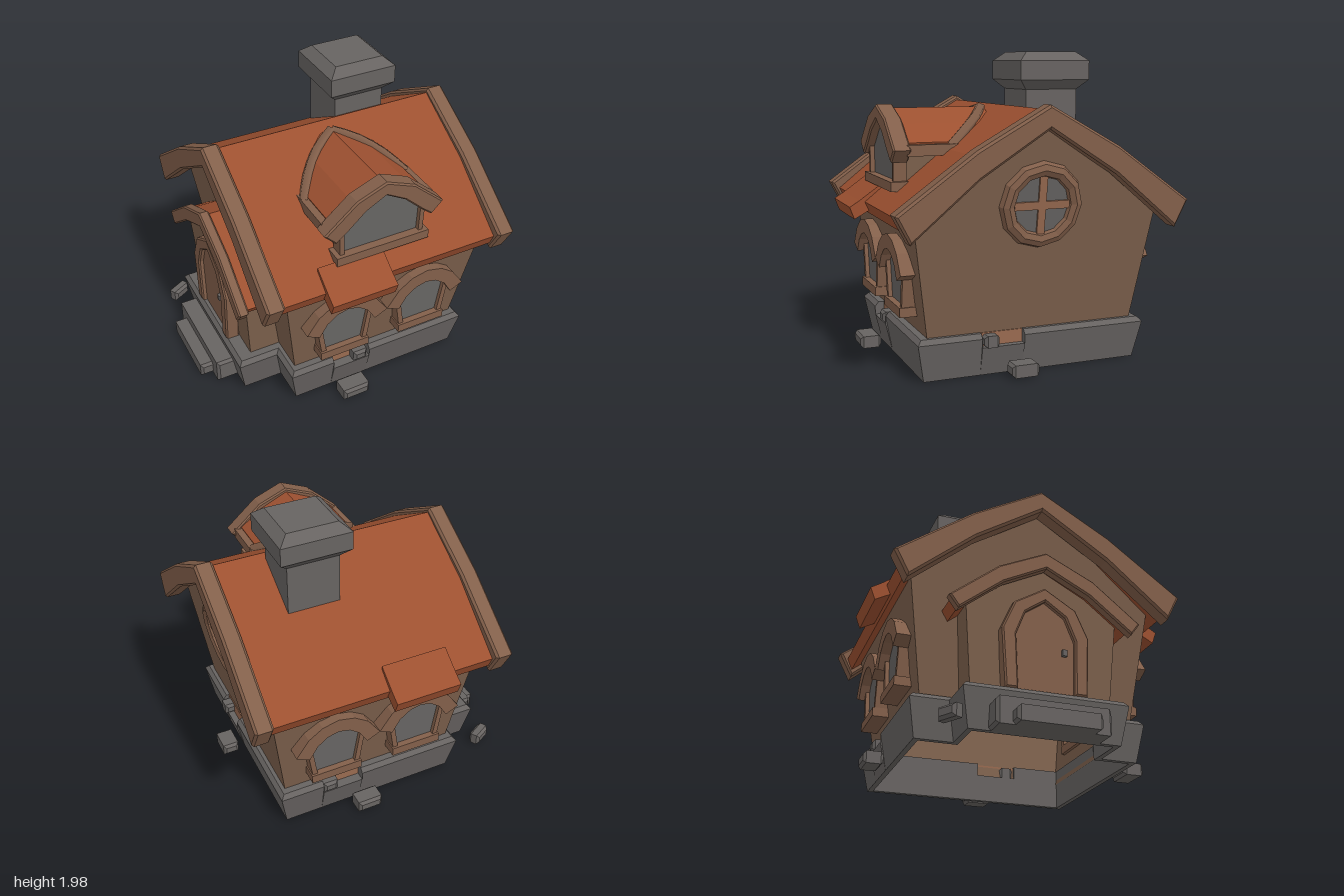
import * as THREE from 'three';

const mat = (name, color, side = THREE.FrontSide) => {
  const m = new THREE.MeshStandardMaterial({ color, side });
  m.name = name;
  return m;
};

// Half profile (eave to apex) -> full symmetric path, and arched band between two such paths
const mirror = p => p.concat(p.slice(0, -1).reverse().map(([x, y]) => [-x, y]));
const chevron = (outer, inner) => mirror(outer).concat(mirror(inner).reverse());

// Extrude a closed profile from a to b along z (or along x)
function extrude(pts, a, b, axis = 'z', bevel = 0) {
  const shape = new THREE.Shape(pts.map(p => new THREE.Vector2(...p)));
  const g = new THREE.ExtrudeGeometry(shape, {
    depth: b - a - 2 * bevel, bevelEnabled: bevel > 0, bevelSegments: 1,
    bevelThickness: bevel, bevelSize: bevel, bevelOffset: -bevel,
  });
  g.translate(0, 0, a + bevel);
  if (axis === 'x') g.rotateY(Math.PI / 2);
  return g;
}

// Wall shell: extruded along x, leaning ends, open at the bottom
function wallShell(pts, x0, x1, lean) {
  const p = extrude(pts, x0, x1, 'x').getAttribute('position');
  const floor = Math.min(...pts.map(q => q[1])) + 0.001;
  const out = [];
  for (let i = 0; i < p.count; i += 3) {
    const tri = [i, i + 1, i + 2];
    if (tri.every(k => p.getY(k) < floor)) continue;
    for (const k of tri) out.push(p.getX(k) + lean(p.getX(k), p.getY(k)), p.getY(k), p.getZ(k));
  }
  const g = new THREE.BufferGeometry();
  g.setAttribute('position', new THREE.Float32BufferAttribute(out, 3));
  g.computeVertexNormals();
  return g;
}

// Stone ring: a battered cross-section swept round stations [x, z, outX, outZ, height]
function stoneRing(stations) {
  const rings = stations.map(([x, z, nx, nz, h]) =>
    [[-0.015, 0], [0.03, Math.min(0.24, h)], [0.005, h], [-0.05, h], [-0.05, 0]]
      .map(([o, y]) => [x + nx * o, y, z + nz * o]));
  const out = [];
  rings.forEach((r, i) => {
    const n = rings[(i + 1) % rings.length];
    for (let j = 0; j < 5; j++) {
      const k = (j + 1) % 5;
      out.push(...r[j], ...n[j], ...n[k], ...r[j], ...n[k], ...r[k]);
    }
  });
  const g = new THREE.BufferGeometry();
  g.setAttribute('position', new THREE.Float32BufferAttribute(out, 3));
  g.computeVertexNormals();
  return g;
}

export function createModel() {
  const house = new THREE.Group();
  house.name = 'cottage';
  const wall = mat('wall plaster', 0x7c604c, THREE.DoubleSide);
  const trim = mat('wood trim', 0x825f4a);
  const roof = mat('roof tile', 0x9c5030, THREE.DoubleSide);
  const stone = mat('stone', 0x676361, THREE.DoubleSide);
  const glass = mat('window glass', 0x666462, THREE.DoubleSide);
  const brick = mat('exposed brick', 0x986a50);

  const add = (name, geo, material, parent = house) => {
    const m = new THREE.Mesh(geo, material);
    m.name = name;
    parent.add(m);
    return m;
  };
  const box = (name, material, x0, x1, y0, y1, z0, z1, parent) =>
    add(name, new THREE.BoxGeometry(x1 - x0, y1 - y0, z1 - z0), material, parent)
      .position.set((x0 + x1) / 2, (y0 + y1) / 2, (z0 + z1) / 2);
  const block = (name, w, h, d, x, y, z, turn = 0) => {
    const g = extrude([[-w / 2, 0], [w / 2, 0], [w / 2, h], [-w / 2, h]], -d / 2, d / 2, 'z', 0.018);
    const m = add(name, g, stone);
    m.position.set(x, y, z);
    m.rotation.y = turn;
  };

  // Foundation with three broken notches
  const H = 0.27, N = 0.185;
  add('foundation', stoneRing([
    [-0.5, 0.73, -1, 1, H],
    [-0.22, 0.73, 0, 1, H], [-0.22, 0.73, 0, 1, N], [0.05, 0.73, 0, 1, N], [0.05, 0.73, 0, 1, H],
    [0.75, 0.73, 1, 1, H],
    [0.75, 0.35, 1, 0, H], [0.75, 0.35, 1, 0, N], [0.75, 0.07, 1, 0, N], [0.75, 0.07, 1, 0, H],
    [0.75, -0.73, 1, -1, H],
    [0.48, -0.73, 0, -1, H], [0.48, -0.73, 0, -1, N], [0.2, -0.73, 0, -1, N], [0.2, -0.73, 0, -1, H],
    [-0.5, -0.73, -1, -1, H],
    [-0.5, -0.49, -1, -1, H], [-0.77, -0.49, -1, -1, H],
    [-0.77, 0.49, -1, 1, H], [-0.5, 0.49, -1, 1, H],
  ]), stone);
  box('porchFloor', stone, -0.75, -0.5, 0.24, 0.268, -0.46, 0.46);
  box('frontBrick', brick, -0.22, 0.05, 0.18, 0.268, 0.688, 0.696);
  box('sideBrick', brick, 0.728, 0.736, 0.18, 0.268, 0.07, 0.35);
  box('backBrick', brick, 0.2, 0.48, 0.18, 0.268, -0.696, -0.688);
  block('looseStone', 0.1, 0.075, 0.09, -0.02, N, 0.725);
  block('looseStone', 0.09, 0.075, 0.1, 0.755, N, 0.29);
  block('looseStone', 0.1, 0.075, 0.09, 0.43, N, -0.725);

  // Fallen stones and entrance steps
  block('fallenStone', 0.19, 0.08, 0.14, -0.12, 0.01, 0.84);
  block('fallenStone', 0.11, 0.08, 0.18, 0.85, 0.01, 0.11);
  block('fallenStone', 0.17, 0.08, 0.13, 0.19, 0.01, -0.815);
  block('fallenStone', 0.14, 0.08, 0.08, -0.83, 0.01, -0.6, 0.5);
  block('upperStep', 0.17, 0.165, 0.71, -0.815, 0, 0);
  block('lowerStep', 0.17, 0.095, 0.52, -0.9, 0, 0);

  // Main walls and porch walls
  add('mainWalls', wallShell(mirror([[0.675, 0.17], [0.8, 1.0], [0.43, 1.29], [0, 1.57]]),
    -0.48, 0.73, (x, y) => Math.sign(x) * (y - 0.27) * 0.147), wall);
  add('porchWalls', wallShell(mirror([[0.44, 0.2], [0.49, 0.8], [0.28, 0.97], [0, 1.1]]),
    -0.69, -0.47, (x, y) => (x < -0.6 ? -0.07 * (y - 0.27) : 0)), wall);

  // Main roof, its barge boards and the tile patches over the eaves
  add('mainRoof', extrude(chevron(
    [[0.895, 1.02], [0.45, 1.375], [0, 1.635]],
    [[0.86, 0.94], [0.43, 1.28], [0, 1.54]]), -0.66, 0.88, 'x'), roof);
  const barge = chevron([[0.95, 1.06], [0.46, 1.41], [0, 1.665]], [[0.86, 0.89], [0.44, 1.24], [0, 1.52]]);
  for (const x of [-0.77, 0.87]) add('bargeBoard', extrude(barge, x, x + 0.12, 'x', 0.015), trim);
  for (const s of [-1, 1])
    add('eavePatch', extrude([[0.78, 1.135], [0.93, 1.03], [0.995, 0.99], [0.965, 0.91], [0.8, 1.0]]
      .map(([z, y]) => [s * z, y]), -0.36, 0.09, 'x'), roof);

  // Porch roof
  add('porchRoof', extrude(chevron(
    [[0.59, 0.8], [0.3, 1.01], [0, 1.155]], [[0.55, 0.74], [0.28, 0.94], [0, 1.08]]), -0.77, -0.5, 'x'), roof);
  add('porchBargeBoard', extrude(chevron(
    [[0.62, 0.79], [0.31, 1.035], [0, 1.18]], [[0.56, 0.71], [0.28, 0.93], [0, 1.07]]),
  -0.82, -0.75, 'x', 0.01), trim);

  // Arched door
  const doorArch = [[0.18, 0.27], [0.19, 0.62], [0.13, 0.77], [0, 0.86]];
  add('doorFrame', extrude(chevron([[0.26, 0.27], [0.28, 0.65], [0.2, 0.83], [0, 0.95]], doorArch),
    -0.785, -0.69, 'x', 0.01), trim);
  add('door', extrude(mirror(doorArch), -0.752, -0.7, 'x'), trim);
  box('doorHandle', stone, -0.775, -0.75, 0.52, 0.56, 0.11, 0.14);

  // Arched windows, two on the front and two on the back
  const pane = [[0.13, 0.42], [0.17, 0.67], [0.13, 0.725], [0.07, 0.762], [0, 0.77]];
  for (const s of [1, -1]) for (const x of [-0.17, 0.41]) {
    const w = new THREE.Group();
    w.name = 'archedWindow';
    w.position.x = x;
    w.rotation.y = s > 0 ? 0 : Math.PI;
    house.add(w);
    add('windowHood', extrude(chevron(
      [[0.29, 0.655], [0.205, 0.775], [0.11, 0.84], [0, 0.865]],
      [[0.2, 0.61], [0.145, 0.7], [0.075, 0.752], [0, 0.77]]), 0.7, 0.84), trim, w);
    add('windowFrame', extrude(chevron([[0.165, 0.42], [0.2, 0.65], [0.1, 0.8], [0, 0.82]], pane),
      0.68, 0.8), trim, w);
    add('windowGlass', extrude(mirror(pane), 0.765, 0.773), glass, w);
    box('windowSill', trim, -0.175, 0.175, 0.37, 0.43, 0.68, 0.815, w);
  }

  // Dormer on the front slope
  const dormer = new THREE.Group();
  dormer.name = 'dormer';
  dormer.position.x = 0.085;
  house.add(dormer);
  const dormerPane = [[0.262, 1.16], [0.268, 1.355], [0.14, 1.47], [0, 1.55]];
  add('dormerBody', extrude(mirror([[0.28, 1.1], [0.29, 1.36], [0.15, 1.48], [0, 1.56]]), 0.12, 0.745), wall, dormer);
  add('dormerFrame', extrude(chevron([[0.29, 1.12], [0.3, 1.37], [0.16, 1.51], [0, 1.59]], dormerPane), 0.7, 0.785), trim, dormer);
  add('dormerGlass', extrude(mirror(dormerPane), 0.747, 0.755), glass, dormer);
  box('dormerSill', trim, -0.325, 0.325, 1.12, 1.18, 0.68, 0.81, dormer);
  add('dormerHood', extrude(chevron(
    [[0.415, 1.38], [0.2, 1.565], [0, 1.645]],
    [[0.335, 1.3], [0.255, 1.365], [0.135, 1.475], [0, 1.55]]), 0.7, 0.815, 'z', 0.01), trim, dormer);
  add('dormerRoof', extrude(chevron(
    [[0.345, 1.42], [0.2, 1.53], [0, 1.62]], [[0.33, 1.36], [0.18, 1.48], [0, 1.56]]), 0.08, 0.72), roof, dormer);
  for (const s of [-1, 1])
    box('dormerEave', trim, s * 0.365 - 0.025, s * 0.365 + 0.025, 1.34, 1.41, 0.38, 0.72, dormer);
  // Band where the dormer roof meets the main slope
  const seam = [[0.365, 1.385, 0.44], [0.27, 1.48, 0.31], [0.14, 1.56, 0.185], [0, 1.61, 0.1]];
  for (const s of [-1, 1]) {
    const curve = new THREE.CatmullRomCurve3(seam.map(([x, y, z]) => new THREE.Vector3(s * x, y, z)));
    add('dormerBand', new THREE.TubeGeometry(curve, 6, 0.038, 5).toNonIndexed(), trim, dormer);
  }

  // Round window in the gable
  const round = new THREE.Group();
  round.name = 'roundWindow';
  round.position.set(0.846, 1.06, 0);
  round.rotation.set(0.146, Math.PI / 2, 0, 'YXZ');
  house.add(round);
  const ring = new THREE.TorusGeometry(0.223, 0.05, 8, 12).toNonIndexed();
  ring.computeVertexNormals();
  add('roundFrame', ring, trim, round);
  add('roundGlass', new THREE.CircleGeometry(0.19, 12), glass, round).position.z = 0.012;
  box('muntin', brick, -0.025, 0.025, -0.18, 0.18, 0.01, 0.025, round);
  box('muntin', brick, -0.18, 0.18, -0.025, 0.025, 0.01, 0.025, round);

  // Square chimney with a chamfered cap
  const profile = [[0.175, 1.25], [0.175, 1.74], [0.235, 1.8], [0.235, 1.92], [0.17, 1.975], [0, 1.975]];
  const chimney = new THREE.LatheGeometry(
    profile.map(([r, y]) => new THREE.Vector2(r * Math.SQRT2, y)), 4, Math.PI / 4).toNonIndexed();
  chimney.computeVertexNormals();
  add('chimney', chimney, stone).position.set(0.36, 0, -0.21);

  return house;
}
